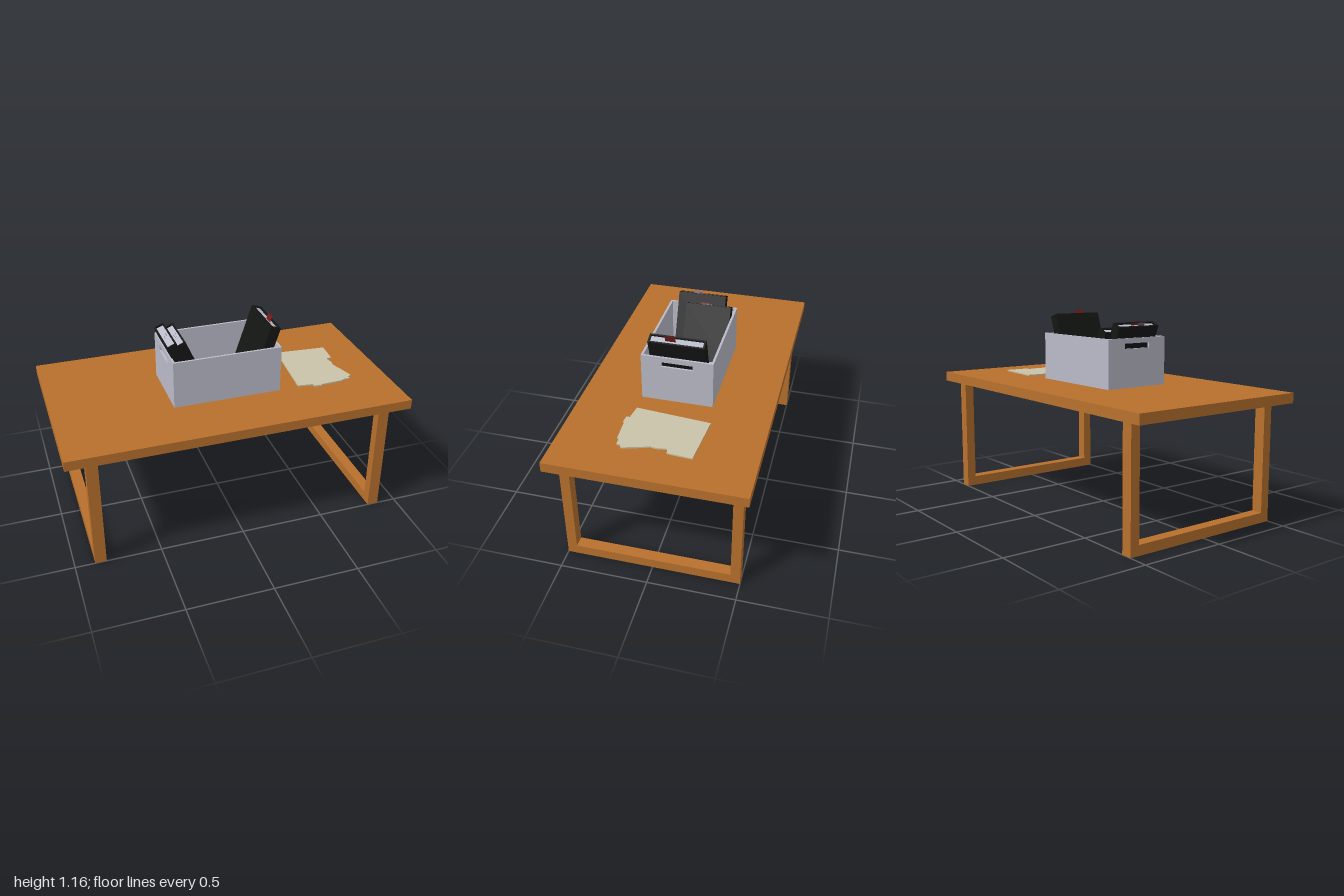
import * as THREE from 'three';

const mat = (color) => new THREE.MeshStandardMaterial({ color, flatShading: true });

export function createModel() {
  const model = new THREE.Group();
  const wood = mat(0xb8702c), plastic = mat(0xbabbc8), black = mat(0x141614);
  const sheet = mat(0xc8c3a8), red = mat(0x7a1a1a), mauve = mat(0x75607a);
  red.side = mauve.side = THREE.DoubleSide;

  const part = (parent, name, geometry, material, x = 0, y = 0, z = 0) => {
    const mesh = new THREE.Mesh(geometry, material);
    mesh.name = name;
    mesh.position.set(x, y, z);
    parent.add(mesh);
    return mesh;
  };
  const box = (parent, name, material, w, h, d, x, y, z) =>
    part(parent, name, new THREE.BoxGeometry(w, h, d), material, x, y, z);
  const group = (name) => {
    const g = new THREE.Group();
    g.name = name;
    model.add(g);
    return g;
  };
  const rectPoints = (x0, x1, y0, y1) =>
    [[x0, y0], [x1, y0], [x1, y1], [x0, y1]].map(([x, y]) => new THREE.Vector2(x, y));
  const extrude = (shape, depth) => new THREE.ExtrudeGeometry(shape, { depth, bevelEnabled: false });

  // Table: slab top on two U-shaped leg frames
  const table = group('table');
  box(table, 'tableTop', wood, 2, 0.057, 1.09, 0, 0.7185, 0);
  const u = [[-0.5, 0], [0.5, 0], [0.5, 0.69], [0.445, 0.69], [0.445, 0.058],
    [-0.445, 0.058], [-0.445, 0.69], [-0.5, 0.69]].map(([x, y]) => new THREE.Vector2(x, y));
  for (const side of [-1, 1]) {
    const frame = part(table, 'legFrame', extrude(new THREE.Shape(u), 0.066).translate(0, 0, -0.033), wood, side * 0.853);
    frame.rotation.y = Math.PI / 2;
  }

  // Open storage crate with a hand slot in each end
  const crate = group('crate');
  const wall = 0.013, base = 0.748, height = 0.282;
  box(crate, 'crateFloor', plastic, 0.64 - 2 * wall, wall, 0.41 - 2 * wall, 0, base + wall / 2, 0);
  for (const side of [-1, 1]) {
    box(crate, 'crateSide', plastic, 0.64 - 2 * wall, height, wall, 0, base + height / 2, side * (0.205 - wall / 2));
    const end = new THREE.Shape(rectPoints(-0.205, 0.205, 0, height));
    end.holes.push(new THREE.Path(rectPoints(-0.088, 0.088, 0.222, 0.252)));
    const mesh = part(crate, 'crateEnd', extrude(end, wall).translate(0, 0, -wall / 2), plastic, side * (0.32 - wall / 2), base);
    mesh.rotation.y = -Math.PI / 2;
  }

  // Leaning binders: hollow black cover, recessed paper block, index tabs.
  // (x, y) is the upper corner on the raised side, lean > 0 tips towards +x.
  const binder = (name, x, y, z, lean, length, width, tabs) => {
    const g = group(name);
    const thick = 0.062, rim = 0.01;
    const cover = new THREE.Shape(rectPoints(-thick / 2, thick / 2, -width / 2, width / 2));
    cover.holes.push(new THREE.Path(rectPoints(-thick / 2 + rim, thick / 2 - rim, -width / 2 + rim, width / 2 - rim)));
    part(g, 'binderCover', extrude(cover, length).rotateX(-Math.PI / 2), black, 0, -length, 0);
    box(g, 'binderPaper', plastic, thick - 2 * rim, length - rim, width - 2 * rim, 0, -(length + rim) / 2, 0);
    for (const [material, tx, tz, tw, rise] of tabs) {
      const tab = part(g, 'indexTab', new THREE.PlaneGeometry(tw, 0.04), material, tx, rise - 0.02, tz);
      tab.rotation.y = Math.PI / 2;
    }
    const s = Math.sign(lean);
    g.rotation.z = -lean;
    g.position.set(x + s * thick / 2 * Math.cos(lean), y - thick / 2 * Math.sin(Math.abs(lean)), z);
  };
  binder('rightBinder', 0.27, 1.146, 0.003, 0.322, 0.393, 0.316, [[red, 0.002, 0.036, 0.06, 0.03]]);
  binder('leftBinder', -0.28, 1.117, 0, -0.385, 0.364, 0.284,
    [[mauve, -0.008, 0.03, 0.05, 0.012], [red, 0.008, -0.005, 0.05, 0.005]]);
  binder('innerBinder', -0.212, 1.086, -0.053, -0.415, 0.335, 0.268,
    [[red, -0.004, 0.03, 0.05, 0.008], [mauve, 0.008, 0.01, 0.05, 0.003]]);

  // Torn sheet lying on the table
  const outline = [[0.475, -0.23], [0.785, -0.205], [0.775, -0.065], [0.742, -0.06], [0.75, -0.005],
    [0.745, 0.03], [0.768, 0.1], [0.79, 0.18], [0.768, 0.19], [0.768, 0.21], [0.72, 0.212], [0.718, 0.222],
    [0.59, 0.228], [0.575, 0.235], [0.53, 0.232], [0.528, 0.212], [0.437, 0.2]];
  const torn = new THREE.Shape(outline.map(([x, z]) => new THREE.Vector2(x, -z)));
  part(model, 'tornSheet', extrude(torn, 0.008).rotateX(-Math.PI / 2), sheet, 0, 0.748, 0);

  return model;
}
